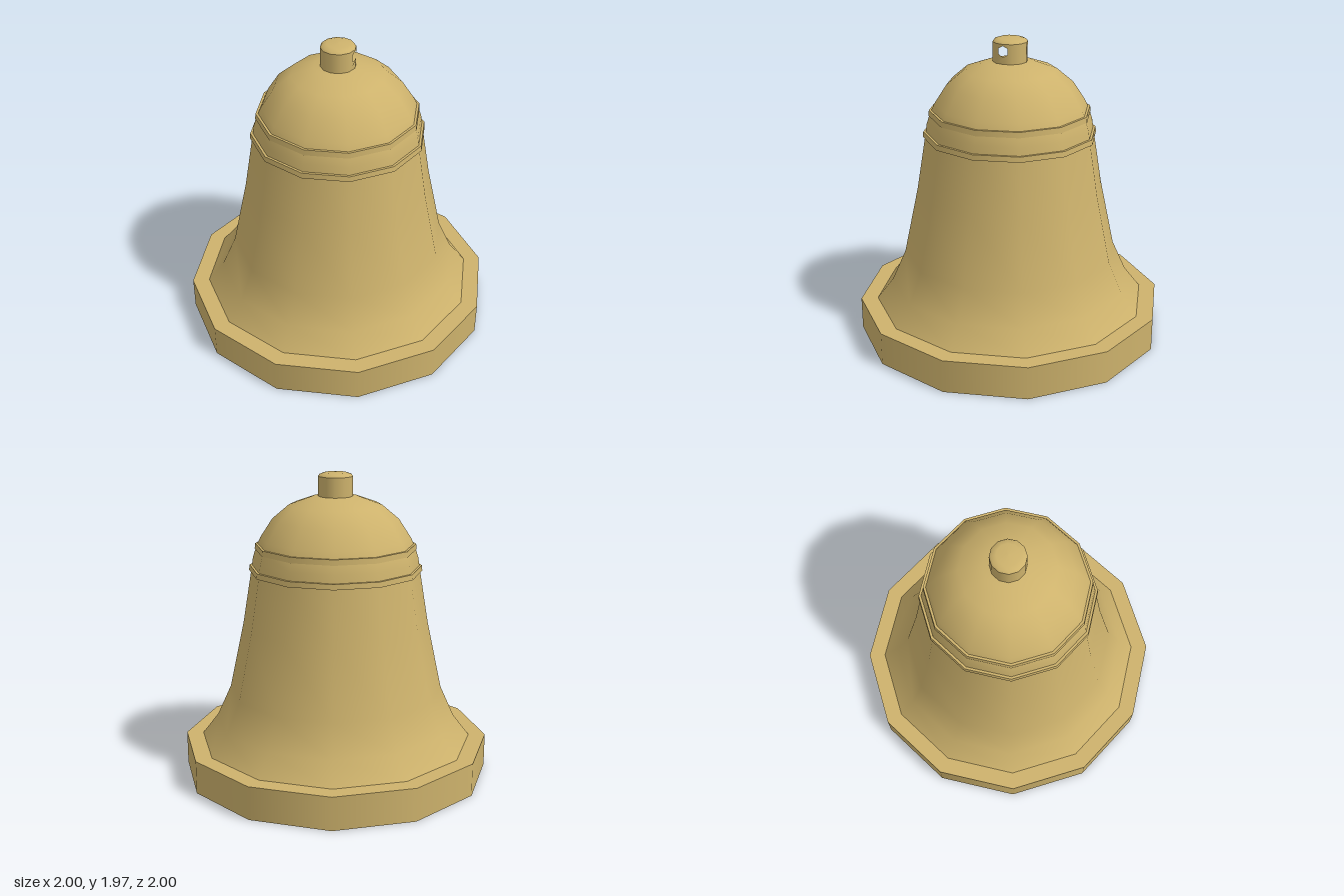
import * as THREE from 'three';

const SIDES = 12;

export function createModel() {
  const group = new THREE.Group();
  group.name = 'bell';
  const brass = new THREE.MeshStandardMaterial({ color: 0xcdb26c });
  brass.name = 'brass';

  const add = (name, geometry) => {
    const mesh = new THREE.Mesh(geometry, brass);
    mesh.name = name;
    group.add(mesh);
    return mesh;
  };
  const lathe = (name, points, start = 0, length = Math.PI * 2, sides = SIDES) =>
    add(name, new THREE.LatheGeometry(points.map(([x, y]) => new THREE.Vector2(x, y)), sides, start, length));

  // Bottom band with a flat ledge and underside
  lathe('lipWall', [[1, 0], [1, 0.215]]);
  lathe('lipLedge', [[1, 0.215], [0.89, 0.215]]);
  lathe('lipUnderside', [[0.93, 0], [1, 0]]);

  // Flared body and dome
  lathe('body', [[0.89, 0.215], [0.785, 0.35], [0.695, 0.55], [0.6, 0.99], [0.542, 1.34],
    [0.53, 1.42], [0.508, 1.49], [0.48, 1.55], [0.402, 1.67], [0.295, 1.76], [0.15, 1.812], [0, 1.823]]);

  // Hollow inside
  lathe('innerWall', [[0, 1.76], [0.14, 1.75], [0.27, 1.7], [0.36, 1.62], [0.44, 1.5], [0.48, 1.34],
    [0.54, 0.98], [0.63, 0.55], [0.72, 0.34], [0.83, 0.19], [0.93, 0]]);

  // Raised rings, each face separate to keep the edges sharp
  for (const [name, inner, outer, low, high] of [
    ['lowerRing', 0.525, 0.557, 1.336, 1.37],
    ['upperRing', 0.49, 0.518, 1.475, 1.51],
  ]) {
    lathe(name + 'Underside', [[inner, low], [outer, low]]);
    lathe(name + 'Wall', [[outer, low], [outer - 0.004, high]]);
    lathe(name + 'Top', [[outer - 0.004, high], [inner, high]]);
  }

  // Crown knob: rounded cap, and a wall left open where the hole panel sits
  const r = 0.11, low = 1.81, high = 1.94;
  lathe('knobCap', [[r, high], [0.1, 1.953], [0.07, 1.963], [0, 1.966]]);
  lathe('knobWall', [[r, low], [r, high]], Math.PI * 2 / 3, Math.PI * 5 / 3, 10);

  // Hole panel, drawn flat as angle against height and then wrapped round the knob
  const half = Math.PI / 6, holeY = 1.895, holeR = 0.036;
  const hexagon = Array.from({ length: 6 }, (_, i) => {
    const a = i * Math.PI / 3;
    return [Math.sin(a) * holeR, holeY + Math.cos(a) * holeR];
  });
  const panel = new THREE.Shape([[-half, low], [0, low], [half, low], [half, high], [0, high], [-half, high]]
    .map(([a, y]) => new THREE.Vector2(a * r, y)));
  panel.holes.push(new THREE.Path(hexagon.map(([x, y]) => new THREE.Vector2(x, y))));
  const panelGeometry = new THREE.ShapeGeometry(panel);
  const p = panelGeometry.attributes.position, n = panelGeometry.attributes.normal;
  for (let i = 0; i < p.count; i++) {
    const a = p.getX(i) / r;
    p.setXYZ(i, Math.cos(a) * r, p.getY(i), -Math.sin(a) * r);
    n.setXYZ(i, Math.cos(a), 0, -Math.sin(a));
  }
  add('knobHolePanel', panelGeometry);

  // Six-sided bore sloping down into the knob, faces turned inward
  const bore = [];
  for (let i = 0; i < 6; i++) {
    const [a, b] = [hexagon[i], hexagon[(i + 1) % 6]].map(([s, y]) => ({
      mouth: [Math.cos(s / r) * r, y, -Math.sin(s / r) * r],
      end: [0, y - 0.035, -Math.sin(s / r) * r],
    }));
    bore.push(...a.mouth, ...b.mouth, ...b.end, ...a.mouth, ...b.end, ...a.end);
  }
  const boreGeometry = new THREE.BufferGeometry();
  boreGeometry.setAttribute('position', new THREE.Float32BufferAttribute(bore, 3));
  boreGeometry.computeVertexNormals();
  add('knobBore', boreGeometry);

  return group;
}
